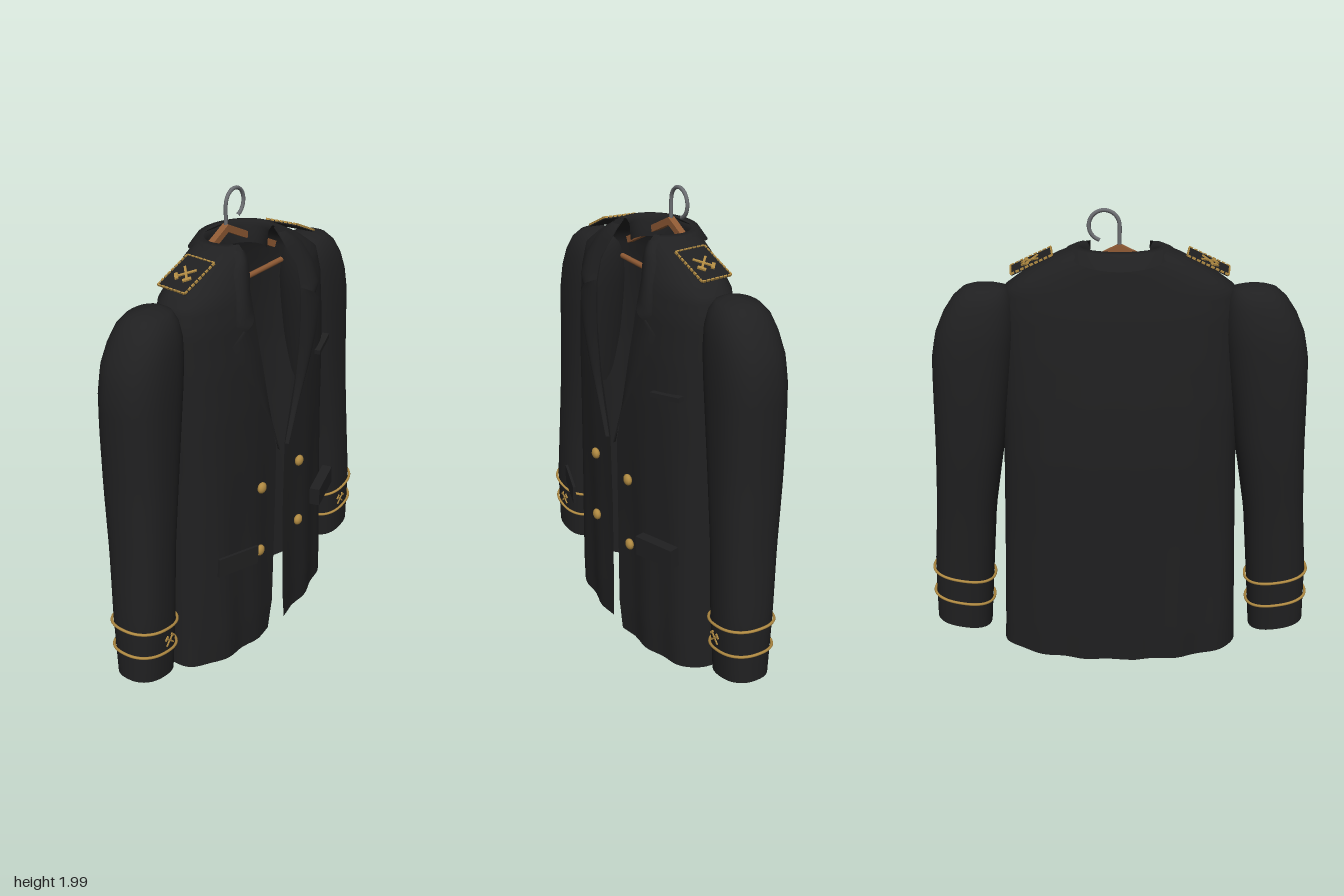
import * as THREE from 'three';

const mat = (name, color, side = THREE.FrontSide) => {
  const m = new THREE.MeshStandardMaterial({ color, side });
  m.name = name;
  return m;
};

// Piecewise-linear lookup in rows of [key, a, b, ...]
const table = (rows) => {
  const f = new THREE.LinearInterpolant(rows.map(r => r[0]), rows.flatMap(r => r.slice(1)), rows[0].length - 1);
  return (t) => Array.from(f.evaluate(t));
};

// Surface through rows of points
function loft(rows, closed = false) {
  const n = rows[0].length, idx = [];
  for (let i = 0; i < rows.length - 1; i++) {
    for (let j = 0; j < (closed ? n : n - 1); j++) {
      const k = (j + 1) % n, a = i * n + j, b = i * n + k, c = a + n, d = b + n;
      idx.push(a, b, d, a, d, c);
    }
  }
  const g = new THREE.BufferGeometry();
  g.setAttribute('position', new THREE.Float32BufferAttribute(rows.flat(2), 3));
  g.setIndex(idx);
  g.computeVertexNormals();
  return g;
}

// Body: y, half width, back z, front z, half gap of the front opening
const body = table([
  [0.02, 0.52, -0.19, 0.155, 0.055], [0.15, 0.515, -0.20, 0.16, 0.035], [0.6, 0.5, -0.215, 0.16, 0.028],
  [0.95, 0.49, -0.235, 0.165, 0.03], [1.2, 0.49, -0.235, 0.165, 0.10], [1.4, 0.485, -0.225, 0.16, 0.14],
  [1.58, 0.48, -0.21, 0.145, 0.165], [1.68, 0.46, -0.195, 0.125, 0.165], [1.75, 0.36, -0.185, 0.10, 0.14],
  [1.8, 0.27, -0.175, 0.08, 0.12], [1.84, 0.17, -0.16, 0.06, 0.12],
]);
const N = 2.6;
const frontZ = (x, y) => {
  const [w, zb, zf] = body(y);
  const k = Math.max(0, 1 - Math.pow(Math.abs(x) / w, N));
  return (zf + zb) / 2 + (zf - zb) / 2 * Math.pow(k, 1 / N);
};

// Sleeve: y, inner x, outer x, back z, front z
const sleeve = table([
  [0.13, 0.58, 0.82, -0.13, 0.07], [0.4, 0.56, 0.815, -0.15, 0.08], [0.7, 0.535, 0.79, -0.175, 0.075],
  [1.0, 0.485, 0.775, -0.205, 0.07], [1.25, 0.45, 0.77, -0.215, 0.07], [1.4, 0.43, 0.766, -0.215, 0.07],
  [1.5, 0.42, 0.745, -0.21, 0.065], [1.58, 0.42, 0.71, -0.195, 0.055], [1.64, 0.43, 0.67, -0.175, 0.035],
  [1.675, 0.45, 0.63, -0.145, 0.005], [1.69, 0.49, 0.59, -0.10, -0.04], [1.694, 0.54, 0.54, -0.07, -0.07],
]);
function sleeveRing(y, s, grow = 0, n = 36) {
  const [x0, x1, zb, zf] = sleeve(y);
  const tilt = 0.17 * THREE.MathUtils.clamp((0.9 - y) / 0.5, 0, 1);
  return Array.from({ length: n }, (_, i) => {
    const a = i / n * Math.PI * 2, c = Math.cos(a), q = Math.sin(a);
    const x = (x0 + x1) / 2 + ((x1 - x0) / 2 + grow) * Math.sign(c) * Math.pow(Math.abs(c), 0.85);
    const z = (zb + zf) / 2 + ((zf - zb) / 2 + grow) * Math.sign(q) * Math.pow(Math.abs(q), 0.85);
    return [x * s, y + (x - 0.7) * tilt, z];
  });
}

export function createModel() {
  const root = new THREE.Group();
  root.name = 'jacketOnHanger';
  const cloth = mat('blackCloth', 0x202021, THREE.DoubleSide);
  const gold = mat('goldBraid', 0xb08a42);
  const wood = mat('hangerWood', 0x8f5a34);
  const steel = mat('hookSteel', 0x6c6e72);
  const add = (name, geo, m, parent = root) => {
    const mesh = new THREE.Mesh(geo, m);
    mesh.name = name;
    parent.add(mesh);
    return mesh;
  };
  const box = (name, size, pos, m, parent = root, rz = 0, ry = 0) => {
    const b = add(name, new THREE.BoxGeometry(...size), m, parent);
    b.position.set(...pos);
    b.rotation.set(0, ry, rz);
    return b;
  };
  const tube = (name, pts, r, m, closed = false) => add(name, new THREE.TubeGeometry(
    new THREE.CatmullRomCurve3(pts.map(p => new THREE.Vector3(...p)), closed), pts.length * 3, r, 8, closed), m);

  // Body shell, open down the front, with soft folds toward the hem
  const rows = [];
  for (let i = 0; i <= 56; i++) {
    const y = 0.02 + 1.82 * i / 56, [w, zb, zf, g] = body(y);
    const start = Math.asin(Math.pow(g / w, N / 2));
    const fold = 0.007 * Math.max(0, 1 - y / 1.3);
    rows.push(Array.from({ length: 97 }, (_, j) => {
      const a = start + (Math.PI * 2 - 2 * start) * j / 96, s = Math.sin(a), c = Math.cos(a);
      const x = w * Math.sign(s) * Math.pow(Math.abs(s), 2 / N);
      const z = (zf + zb) / 2 + (zf - zb) / 2 * Math.sign(c) * Math.pow(Math.abs(c), 2 / N);
      const hem = Math.max(0, 1 - i / 4) * (0.03 * Math.pow(Math.abs(x) / w, 2) - 0.015);
      return [x, y + hem, z + fold * Math.sin(x * 32 + y)];
    }));
  }
  add('jacketBody', loft(rows), cloth);

  // Folded collar around the neck: radius x, radius z, height
  const fall = [[0.145, 0.10, 1.75], [0.15, 0.105, 1.82], [0.165, 0.12, 1.842], [0.19, 0.15, 1.838], [0.215, 0.19, 1.80]];
  add('collar', loft(fall.map(([rx, rz, y], k) => Array.from({ length: 41 }, (_, j) => {
    const a = -2.2 + 4.4 * j / 40, back = Math.max(0, Math.cos(a));
    return [rx * Math.sin(a), y + (k === 4 ? 0.025 - 0.045 * back : 0), -0.05 - rz * Math.cos(a)];
  }))), cloth);

  // Lapel and collar wing rows: inner x, y, outer x, y
  const lapelRows = [[0.028, 0.94, 0.035, 0.94], [0.07, 1.08, 0.115, 1.12], [0.10, 1.2, 0.19, 1.25],
    [0.13, 1.35, 0.265, 1.38], [0.15, 1.46, 0.292, 1.45], [0.162, 1.56, 0.31, 1.505], [0.165, 1.6, 0.25, 1.55]];
  const wingRows = [[0.165, 1.595, 0.25, 1.55], [0.165, 1.63, 0.293, 1.585], [0.163, 1.69, 0.265, 1.69],
    [0.13, 1.76, 0.235, 1.765], [0.12, 1.80, 0.20, 1.80], [0.12, 1.825, 0.17, 1.83]];
  const flap = (data, s, lift) => loft(data.map(([xi, yi, xo, yo]) => Array.from({ length: 9 }, (_, j) => {
    const t = j / 8, x = xi + (xo - xi) * t, y = yi + (yo - yi) * t;
    return [s * x, y, frontZ(x, y) + 0.006 + lift * Math.sin(t * 2.2)];
  })));

  for (const s of [1, -1]) {
    const side = s > 0 ? 'left' : 'right';
    add(side + 'Lapel', flap(lapelRows, s, 0.016), cloth);
    add(side + 'CollarWing', flap(wingRows, s, 0.028), cloth);

    // Sleeve with puffed head and open cuff
    const ys = [];
    for (let y = 0.13; y < 1.5; y += 0.06) ys.push(y);
    ys.push(1.5, 1.54, 1.58, 1.61, 1.64, 1.66, 1.675, 1.684, 1.69, 1.694);
    add(side + 'Sleeve', loft(ys.map(y => sleeveRing(y, s)), true), cloth);

    // Cuff braid
    for (const y of [0.38, 0.262]) tube(side + 'CuffBraid', sleeveRing(y, s, 0.007), 0.006, gold, true);

    // Crossed hammers, reused on cuff and epaulette
    const hammers = (name, scale) => {
      const g = new THREE.Group();
      g.name = name;
      for (const d of [1, -1]) {
        box('hammerHandle', [0.008, 0.075, 0.006], [0, 0, 0], gold, g, d * 0.8);
        box('hammerHead', [0.03, 0.012, 0.006], [-d * 0.024, 0.023, 0.001], gold, g, d * 0.8);
      }
      g.scale.setScalar(scale);
      return g;
    };
    const cuffBadge = hammers(side + 'CuffBadge', 0.8);
    cuffBadge.position.set(s * 0.67, 0.305, 0.08);
    root.add(cuffBadge);

    // Epaulette: cloth patch, dashed gold border and badge
    const ep = new THREE.Group();
    ep.name = side + 'Epaulette';
    ep.position.set(s * 0.353, 1.772, -0.035);
    ep.rotation.set(0, s * 0.1, -s * 0.42);
    const L = 0.18, W = 0.14;
    box('patch', [L, 0.008, W], [0, 0, 0], cloth, ep);
    for (const e of [1, -1]) {
      for (let i = 0; i < 9; i++) box('braidDash', [0.015, 0.008, 0.006], [(i - 4) * 0.0205, 0.004, e * W / 2], gold, ep);
      for (let i = 0; i < 7; i++) box('braidDash', [0.006, 0.008, 0.015], [e * L / 2, 0.004, (i - 3) * 0.0205], gold, ep);
    }
    const badge = hammers('epauletteBadge', 1.15);
    badge.rotation.set(-Math.PI / 2, 0, -s * Math.PI / 2);
    badge.position.y = 0.006;
    ep.add(badge);
    root.add(ep);
  }

  // Pocket flaps and breast pocket lip
  box('leftPocketFlap', [0.2, 0.085, 0.045], [0.35, 0.57, 0.16], cloth, root, 0.06, 0.27);
  box('rightPocketFlap', [0.2, 0.085, 0.012], [-0.355, 0.565, 0.2], cloth, root, -0.06, -0.3);
  box('breastPocket', [0.15, 0.02, 0.03], [0.365, 1.268, frontZ(0.365, 1.268) + 0.008], cloth, root, 0.12, 0.3);

  // Buttons
  for (const [x, y] of [[-0.148, 0.808], [0.135, 0.808], [-0.155, 0.497], [0.142, 0.497]]) {
    const b = add('button', new THREE.SphereGeometry(0.025, 12, 8), gold);
    b.scale.z = 0.65;
    b.position.set(x, y, frontZ(x, y) + 0.015);
  }

  // Hanger: sloping arms, cross bar and hook
  const hz = -0.11;
  for (const s of [1, -1]) box('hangerArm', [0.38, 0.028, 0.028], [s * 0.165, 1.765, hz], wood, root, -s * 0.45);
  const bar = add('hangerBar', new THREE.CylinderGeometry(0.012, 0.012, 0.8, 10), wood);
  bar.rotation.z = Math.PI / 2;
  bar.position.set(0, 1.592, hz);
  const hook = [[0, 1.83, hz], [0, 1.89, hz]];
  for (let i = 0; i <= 12; i++) {
    const a = Math.PI - i / 12 * 4.4;
    hook.push([0.06 + 0.06 * Math.cos(a), 1.932 + 0.06 * Math.sin(a), hz]);
  }
  tube('hangerHook', hook, 0.008, steel);
  return root;
}
